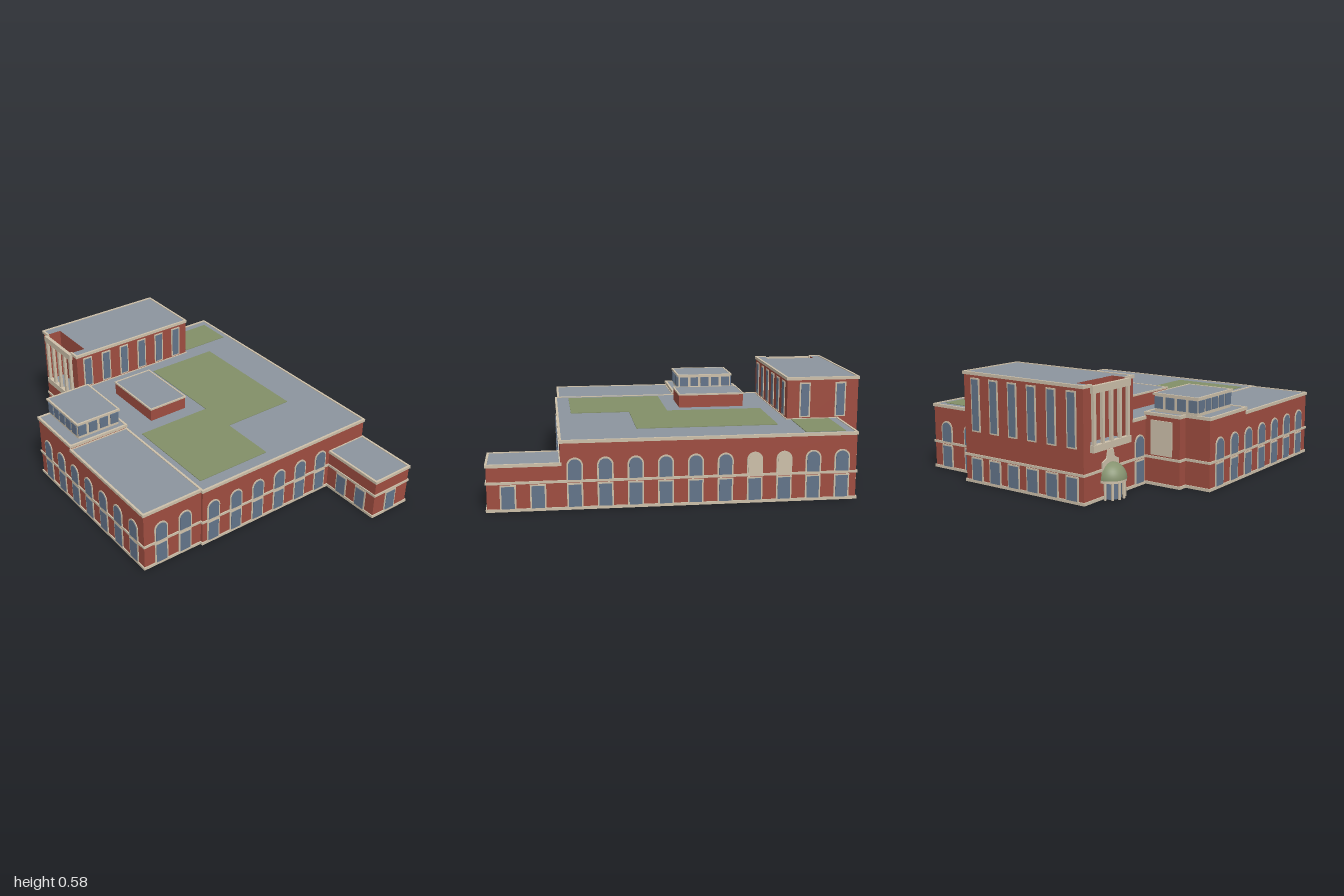
import * as THREE from 'three';

const mat = (name, color) => new THREE.MeshStandardMaterial({ name, color, side: THREE.DoubleSide });

export function createModel() {
  const brick = mat('brick', 0x9f4d40), cream = mat('cream stone', 0xcdc0aa), glass = mat('window glass', 0x63748a);
  const slate = mat('grey roof', 0x8c959e), lawn = mat('green roof', 0x828f68), copper = mat('dome green', 0x869370);
  const model = new THREE.Group();
  model.name = 'brickBuilding';

  function add(parent, name, geo, material, x = 0, y = 0, z = 0) {
    const m = new THREE.Mesh(geo, material);
    m.name = name;
    m.position.set(x, y, z);
    parent.add(m);
    return m;
  }
  // box given by its extents
  const box = (parent, name, m, x0, x1, y0, y1, z0, z1) =>
    add(parent, name, new THREE.BoxGeometry(x1 - x0, y1 - y0, z1 - z0), m, (x0 + x1) / 2, (y0 + y1) / 2, (z0 + z1) / 2);

  // calls fn for each edge of a plan outline (x, z), counted from the front left corner
  function eachEdge(pts, fn) {
    pts.forEach((p, i) => {
      const q = pts[(i + 1) % pts.length], dx = q[0] - p[0], dz = q[1] - p[1];
      fn((p[0] + q[0]) / 2, (p[1] + q[1]) / 2, Math.hypot(dx, dz), -Math.atan2(dz, dx), i);
    });
  }
  function walls(parent, pts, y0, y1) {
    eachEdge(pts, (x, z, len, rot) => {
      add(parent, 'wall', new THREE.PlaneGeometry(len, y1 - y0), brick, x, (y0 + y1) / 2, z).rotation.y = rot;
    });
  }
  function band(parent, name, pts, y0, y1, t = 0.012, skip = []) {
    eachEdge(pts, (x, z, len, rot, i) => {
      if (skip.includes(i)) return;
      add(parent, name, new THREE.BoxGeometry(len + t, y1 - y0, t), cream, x, (y0 + y1) / 2, z).rotation.y = rot;
    });
  }
  function flat(parent, name, pts, y, m) {
    const s = new THREE.Shape(pts.map(([x, z]) => new THREE.Vector2(x, -z)));
    add(parent, name, new THREE.ShapeGeometry(s).rotateX(-Math.PI / 2), m, 0, y, 0);
  }
  const rect = (x0, x1, z0, z1) => [[x0, z1], [x1, z1], [x1, z0], [x0, z0]];

  // open-bottomed wing with plinth, string course, cornice and flat roof
  function wing(name, pts, h) {
    const g = new THREE.Group();
    g.name = name;
    model.add(g);
    walls(g, pts, 0, h - 0.005);
    band(g, 'plinth', pts, 0, 0.015);
    band(g, 'stringCourse', pts, 0.14, 0.153);
    band(g, 'cornice', pts, h - 0.016, h);
    flat(g, 'roof', pts, h - 0.004, slate);
  }
  wing('mainHall', [[-0.39, 0.63], [0.744, 0.63], [0.744, -0.88], [0.39, -0.88], [0.39, -0.6], [-0.39, -0.6]], 0.355);
  wing('sideWing', rect(-0.744, -0.39, -0.085, 0.615), 0.355);
  wing('rearSideWing', [[-0.744, -0.085], [-0.39, -0.085], [-0.39, -0.492], [-0.6, -0.492], [-0.6, -0.44], [-0.744, -0.44]], 0.378);
  wing('frontAnnex', rect(0.494, 0.744, 0.63, 0.994), 0.242);

  // tower, notched above the balcony floor
  const tower = new THREE.Group();
  tower.name = 'tower';
  model.add(tower);
  const base = rect(-0.39, 0.39, -0.994, -0.6);
  const notched = [...base, [-0.39, -0.94], [-0.305, -0.94], [-0.305, -0.655], [-0.39, -0.655]];
  walls(tower, base, 0, 0.27);
  walls(tower, notched, 0.27, 0.575);
  // the notch's open side needs no wall: outline runs around the recess
  band(tower, 'plinth', base, 0, 0.015);
  band(tower, 'stringCourse', base, 0.14, 0.153);
  band(tower, 'cornice', notched, 0.564, 0.58, 0.012, [4, 5, 6]);
  flat(tower, 'roof', notched, 0.576, slate);
  flat(tower, 'balconyFloor', rect(-0.39, -0.305, -0.94, -0.655), 0.27, slate);

  // balcony colonnade
  const balcony = new THREE.Group();
  balcony.name = 'balcony';
  model.add(balcony);
  box(balcony, 'balconyLedge', cream, -0.414, -0.39, 0.25, 0.285, -0.945, -0.645);
  box(balcony, 'balconyLintel', cream, -0.412, -0.392, 0.535, 0.572, -0.945, -0.645);
  for (let i = 0; i < 5; i++) {
    const z = -0.93 + i * 0.0675;
    box(balcony, 'balconyColumn', cream, -0.41, -0.394, 0.285, 0.535, z - 0.009, z + 0.009);
  }

  // roof box, penthouse and green roofs
  const hut = rect(-0.233, 0.003, -0.438, -0.067);
  walls(model, hut, 0.35, 0.428);
  band(model, 'roofBoxTrim', hut, 0.421, 0.43, 0.008);
  flat(model, 'roofBoxTop', hut, 0.427, slate);
  box(model, 'penthouse', cream, -0.673, -0.415, 0.37, 0.465, -0.445, -0.122);
  const cap = rect(-0.676, -0.412, -0.448, -0.119);
  band(model, 'penthouseCornice', cap, 0.46, 0.471, 0.01);
  flat(model, 'penthouseRoof', cap, 0.469, slate);
  for (const [x0, x1, z0, z1] of [[0.09, 0.52, -0.52, 0.23], [-0.35, 0.09, 0.015, 0.555], [0.41, 0.71, -0.83, -0.62]])
    box(model, 'greenRoof', lawn, x0, x1, 0.35, 0.3545, z0, z1);

  // thin window plates: outline with optional round head
  function plate(w, y0, y1, arched, depth) {
    const s = new THREE.Shape(), r = w / 2, top = arched ? y1 - r : y1;
    s.moveTo(-r, y0).lineTo(r, y0).lineTo(r, top);
    if (arched) s.absarc(0, top, r, 0, Math.PI, false);
    else s.lineTo(-r, top);
    s.closePath();
    return new THREE.ExtrudeGeometry(s, { depth, bevelEnabled: false, curveSegments: 10 });
  }
  const turn = { front: 0, right: Math.PI / 2, back: Math.PI, left: -Math.PI / 2 };
  function windowAt(side, wallPos, u, y0, y1, w, { arched = false, pane = glass, frame = 0.008 } = {}) {
    const g = new THREE.Group(), alongX = side === 'front' || side === 'back';
    g.name = arched ? 'archedWindow' : 'window';
    g.position.set(alongX ? u : wallPos, 0, alongX ? wallPos : u);
    g.rotation.y = turn[side];
    if (frame) add(g, 'windowFrame', plate(w, y0, y1, arched, 0.004), cream);
    add(g, 'windowPane', plate(w - 2 * frame, y0 + (y0 > 0.2 ? frame : 0), y1 - frame, arched, 0.006), pane);
    model.add(g);
  }
  const ground = (side, wall, u) => windowAt(side, wall, u, 0.015, 0.136, 0.08);
  const pair = (side, wall, u, pane = glass) => {
    ground(side, wall, u);
    windowAt(side, wall, u, 0.153, 0.266, 0.082, { arched: true, pane });
  };
  for (const x of [-0.64, -0.492]) pair('front', 0.615, x);
  for (let i = 0; i < 6; i++) pair('front', 0.63, -0.32 + i * 0.149);
  for (let i = 0; i < 10; i++) pair('right', 0.744, 0.56 - i * 0.1515, i === 6 || i === 7 ? cream : glass);
  for (let i = 0; i < 7; i++) pair('left', -0.744, 0.523 - i * 0.145);
  for (const x of [0.48, 0.65]) pair('back', -0.88, x);
  pair('left', -0.39, -0.546);
  ground('front', 0.994, 0.615);
  for (const z of [0.89, 0.742]) {
    ground('right', 0.744, z);
    ground('left', 0.494, z);
  }
  // tall tower windows
  for (let i = 0; i < 6; i++) {
    const x = -0.319 + i * 0.126;
    windowAt('front', -0.6, x, 0.36, 0.55, 0.06);
    windowAt('back', -0.994, x, 0.27, 0.55, 0.06);
    ground('back', -0.994, x);
  }
  for (const z of [-0.697, -0.895]) windowAt('right', 0.39, z, 0.36, 0.55, 0.06);
  // penthouse windows
  for (let i = 0; i < 4; i++)
    for (const [s, p] of [['front', -0.122], ['back', -0.445]]) windowAt(s, p, -0.647 + i * 0.0685, 0.392, 0.453, 0.05, { frame: 0 });
  for (let i = 0; i < 5; i++)
    for (const [s, p] of [['right', -0.415], ['left', -0.673]]) windowAt(s, p, -0.412 + i * 0.064, 0.392, 0.453, 0.048, { frame: 0 });

  // blank panel on the rear bay
  box(model, 'blankPanel', cream, -0.555, -0.425, 0.16, 0.34, -0.498, -0.492);

  // domed porch on the tower's side
  const porch = new THREE.Group();
  porch.name = 'domedPorch';
  porch.position.set(-0.395, 0, -0.793);
  model.add(porch);
  const half = [Math.PI, Math.PI];
  add(porch, 'porchGlass', new THREE.CylinderGeometry(0.055, 0.055, 0.09, 16, 1, true, ...half), glass, 0, 0.045, 0);
  add(porch, 'porchRing', new THREE.CylinderGeometry(0.08, 0.08, 0.014, 24, 1, false, ...half), cream, 0, 0.092, 0);
  add(porch, 'dome', new THREE.SphereGeometry(0.08, 24, 10, -Math.PI / 2, Math.PI, 0, Math.PI / 2), copper, -0.002, 0.098, 0);
  for (let i = 0; i < 6; i++) {
    const a = (i + 0.5) * Math.PI / 6;
    add(porch, 'porchColumn', new THREE.CylinderGeometry(0.007, 0.007, 0.088, 8), cream, -0.07 * Math.sin(a), 0.044, 0.07 * Math.cos(a));
  }
  // stepped gable above the dome
  const gable = new THREE.Shape([[-0.065, 0.1], [0.065, 0.1], [0.065, 0.185], [0.03, 0.2], [0.02, 0.24], [-0.02, 0.24], [-0.03, 0.2], [-0.065, 0.185]]
    .map(([x, y]) => new THREE.Vector2(x, y)));
  const g = add(model, 'porchGable', new THREE.ExtrudeGeometry(gable, { depth: 0.009, bevelEnabled: false }), cream, -0.39, 0, -0.793);
  g.rotation.y = turn.left;

  // the dome must face outward
  porch.getObjectByName('dome').rotation.y = turn.left + Math.PI / 2;
  return model;
}
